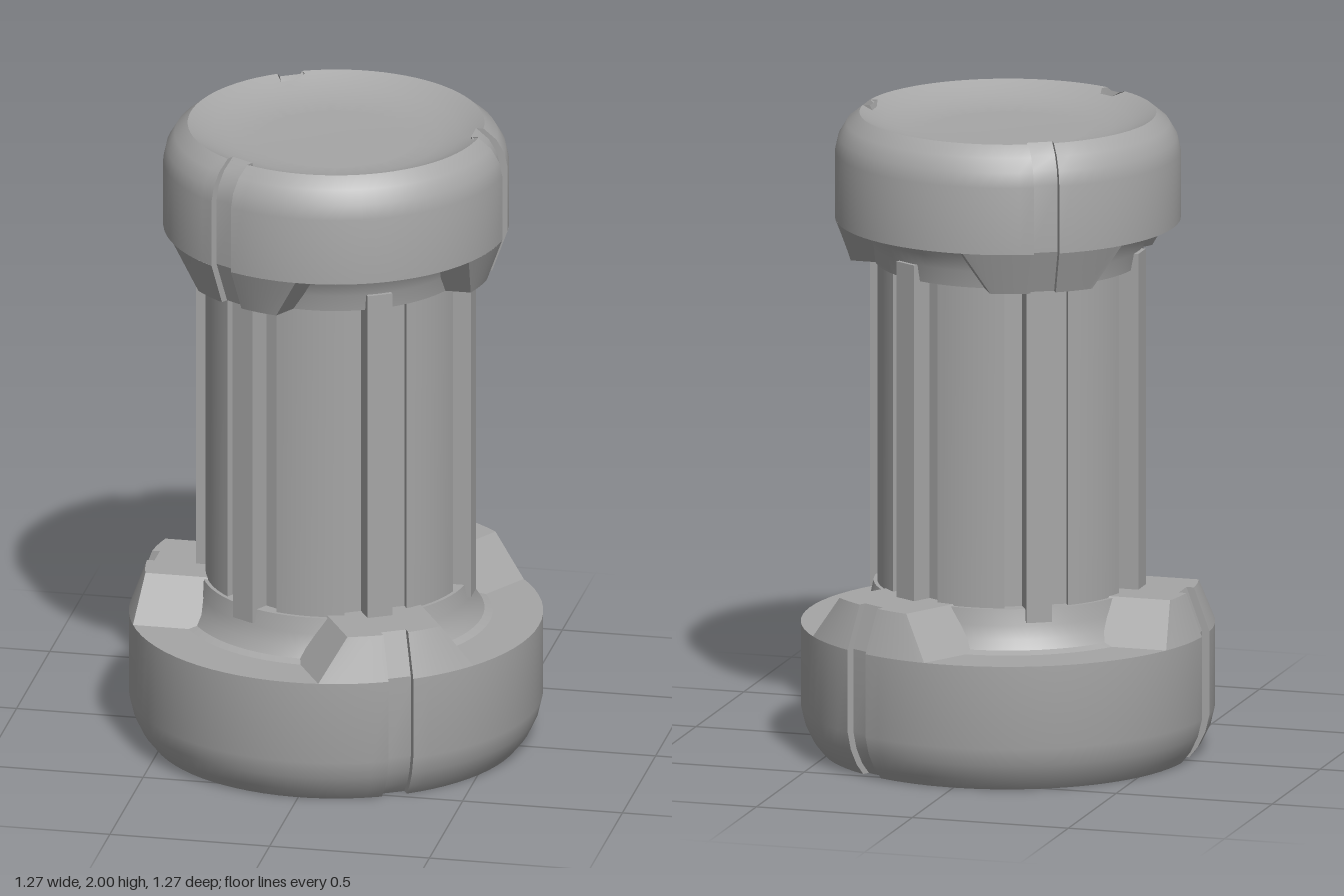
import * as THREE from 'three';
import { toCreasedNormals } from 'three/addons/utils/BufferGeometryUtils.js';

const SLOT = 0.04;   // half width of the vertical grooves
const DEPTH = 0.025; // groove depth
const THIRD = (Math.PI * 2) / 3;

// Point at distance t along direction a, shifted s sideways (counter-clockwise)
const at = (a, t, s) => [t * Math.cos(a) - s * Math.sin(a), t * Math.sin(a) + s * Math.cos(a)];
const arc = (r, a0, a1, n) =>
  Array.from({ length: n + 1 }, (_, i) => at(a0 + ((a1 - a0) * i) / n, r, 0));

// Groove corners, to be inserted between two arcs
const slotFloor = (a, r) => [at(a, r - DEPTH, -SLOT), at(a, r - DEPTH, SLOT)];

// Circle with three grooves
function groovedRing(r, start) {
  const pts = [];
  const d = Math.asin(SLOT / r);
  for (let k = 0; k < 3; k++) {
    const a = start + k * THIRD;
    pts.push(...slotFloor(a, r), ...arc(r, a + d, a + THIRD - d, 24));
  }
  return pts;
}

// Plain circle with the same point layout as groovedRing
function plainRing(r, start) {
  const pts = [];
  const d = 0.09;
  for (let k = 0; k < 3; k++) {
    const a = start + k * THIRD;
    pts.push(at(a - d / 3, r, 0), at(a + d / 3, r, 0), ...arc(r, a + d, a + THIRD - d, 24));
  }
  return pts;
}

// Lug section: curved grooved front, parallel sides, straight back
function lugSection(r, w, a) {
  const d = Math.asin(SLOT / r);
  const e = Math.asin(w / r);
  return [
    at(a, 0.33, w), at(a, 0.33, -w),
    ...arc(r, a - e, a - d, 8), ...slotFloor(a, r), ...arc(r, a + d, a + e, 8),
  ];
}

// Closed solid through stacked sections, each { y, pts }
function loft(sections) {
  const pos = [];
  const put = (s, i) => pos.push(s.pts[i][0], s.y, -s.pts[i][1]);
  for (let j = 0; j + 1 < sections.length; j++) {
    const a = sections[j], b = sections[j + 1], n = a.pts.length;
    for (let i = 0; i < n; i++) {
      const k = (i + 1) % n;
      put(a, i); put(a, k); put(b, k);
      put(a, i); put(b, k); put(b, i);
    }
  }
  const cap = (s, flip) => {
    const contour = s.pts.map((p) => new THREE.Vector2(p[0], p[1]));
    for (const f of THREE.ShapeUtils.triangulateShape(contour, [])) {
      (flip ? [f[0], f[2], f[1]] : f).forEach((i) => put(s, i));
    }
  };
  cap(sections[0], true);
  cap(sections[sections.length - 1], false);
  const g = new THREE.BufferGeometry();
  g.setAttribute('position', new THREE.Float32BufferAttribute(pos, 3));
  g.computeVertexNormals();
  return toCreasedNormals(g, 0.55);
}

export function createModel() {
  const group = new THREE.Group();
  const grey = new THREE.MeshStandardMaterial({ color: 0xa6a6a6 });
  grey.name = 'grey';
  const add = (name, geometry) => {
    const mesh = new THREE.Mesh(geometry, grey);
    mesh.name = name;
    group.add(mesh);
    return mesh;
  };
  const lathe = (pts) =>
    toCreasedNormals(new THREE.LatheGeometry(pts.map((p) => new THREE.Vector2(...p)), 72), 0.55);

  const baseStart = Math.PI / 3; // base lugs point at 60, 180 and 300 degrees
  const topStart = 0;            // cap lugs sit over the gaps between them

  // Base drum with rounded foot
  add('base', loft(
    [[0.57, 0], [0.598, 0.035], [0.622, 0.085], [0.635, 0.14], [0.635, 0.4]]
      .map(([r, y]) => ({ y, pts: groovedRing(r, baseStart) }))));

  // Filleted collar rising from the base to the shaft
  add('baseCollar', lathe([[0.485, 0.398], [0.455, 0.41], [0.435, 0.44], [0.422, 0.48], [0.412, 0.53], [0.3, 0.53]]));

  // Cap with rounded shoulder and dished top
  const capBody = [[0.53, 1.67], [0.53, 1.88], [0.52, 1.925], [0.495, 1.967], [0.455, 2]]
    .map(([r, y]) => ({ y, pts: groovedRing(r, topStart) }));
  const dish = [[0.425, 1.984], [0.38, 1.966], [0.32, 1.951], [0.25, 1.945]]
    .map(([r, y]) => ({ y, pts: plainRing(r, topStart) }));
  add('cap', loft([...capBody, ...dish]));

  // Filleted collar under the cap
  add('capCollar', lathe([[0.3, 1.537], [0.408, 1.537], [0.418, 1.59], [0.432, 1.63], [0.452, 1.66], [0.48, 1.672]]));

  // Three tapered lugs on the base and three below the cap
  for (let k = 0; k < 3; k++) {
    const up = baseStart + k * THIRD;
    add('baseLug', loft([
      { y: 0.4, pts: lugSection(0.635, 0.25, up) },
      { y: 0.535, pts: lugSection(0.585, 0.15, up) },
    ]));
    const down = topStart + k * THIRD;
    add('capLug', loft([
      { y: 1.537, pts: lugSection(0.482, 0.16, down) },
      { y: 1.67, pts: lugSection(0.53, 0.25, down) },
    ]));
  }

  // Shaft with six wide channels, each holding a raised rib
  const channel = 0.1, shaftR = 0.4, floorR = 0.365;
  const outline = [];
  const half = Math.asin(channel / shaftR);
  for (let k = 0; k < 6; k++) {
    const a = (k * Math.PI) / 3;
    outline.push(at(a, floorR, -channel), at(a, floorR, channel),
      ...arc(shaftR, a + half, a + Math.PI / 3 - half, 10));

    const rib = add('shaftRib', new THREE.BoxGeometry(0.1, 1.1, 0.08));
    const [x, z] = at(a, 0.38, 0);
    rib.position.set(x, 1.04, -z);
    rib.rotation.y = a;
  }
  add('shaft', loft([{ y: 0.5, pts: outline }, { y: 1.57, pts: outline }]));

  return group;
}
